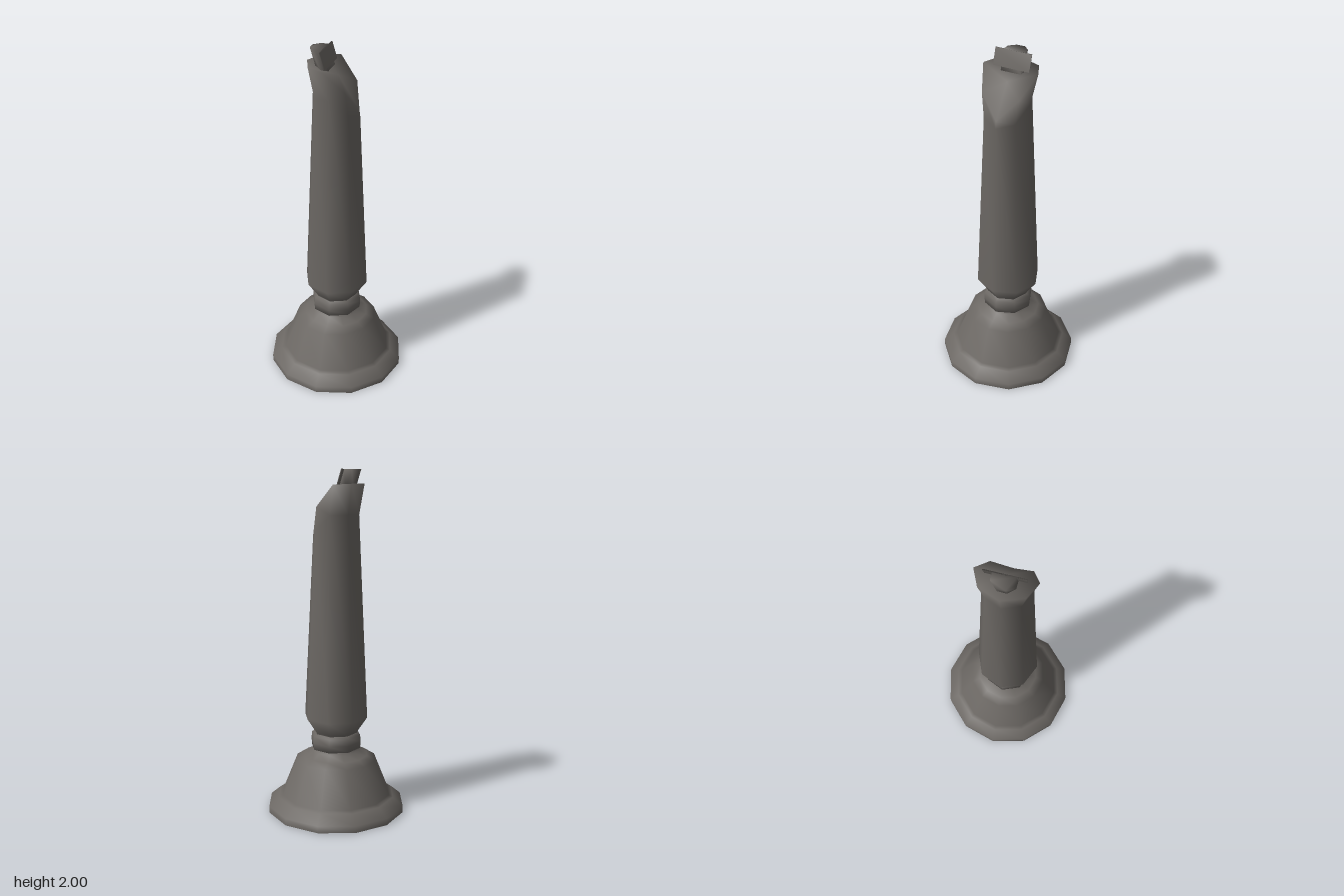
import * as THREE from 'three';
import { mergeVertices } from 'three/addons/utils/BufferGeometryUtils.js';

const darkGrey = new THREE.MeshStandardMaterial({ color: 0x6c6864, side: THREE.DoubleSide });
darkGrey.name = 'dark grey';

const lathe = (pts, sides) => new THREE.LatheGeometry(pts.map(p => new THREE.Vector2(...p)), sides);

// Shares vertices so that shading runs smoothly over the whole part
function smooth(geo) {
  geo.deleteAttribute('normal');
  geo.deleteAttribute('uv');
  const merged = mergeVertices(geo, 1e-4);
  merged.computeVertexNormals();
  return merged;
}

// Rim corners [x, y, |z|] from the low +x side round to the tall -x side
const rim = [[0.13, 1.67, 0], [0.083, 1.795, 0.112], [-0.025, 1.915, 0.165], [-0.12, 1.92, 0.12], [-0.165, 1.92, 0]];
// Heights of the ring just below the rim, in the same order
const neckY = [1.63, 1.66, 1.75, 1.75, 1.75];

// Octagonal shaft whose top rings follow the slanted, flared break and close over it
function shaftGeometry() {
  const profile = [[0.125, 0.45], [0.13, 0.48], [0.19, 0.57], [0.135, 1.75], [0.165, 1.92], [0, 1.92]];
  const geo = lathe(profile, 8);
  const pos = geo.attributes.position, n = profile.length;
  for (let i = 0; i < pos.count; i++) {
    const ring = i % n;
    if (ring < n - 3) continue;
    const x = pos.getX(i), z = pos.getZ(i);
    const k = Math.round(Math.abs(Math.atan2(z, x)) / (Math.PI / 4));
    if (ring === n - 3) pos.setY(i, neckY[k]);
    else if (ring === n - 2) pos.setXYZ(i, rim[k][0], rim[k][1], (z < 0 ? -1 : 1) * rim[k][2]);
    else pos.setXYZ(i, 0.01, 1.855, 0);
  }
  return smooth(geo);
}

// Upright bar from height y0 to the very top, sheared so that it leans towards -x
function leaningGeometry(outline, y0) {
  const y1 = 2;
  const shape = new THREE.Shape(outline.map(p => new THREE.Vector2(...p)));
  const geo = new THREE.ExtrudeGeometry(shape, { depth: y1 - y0, bevelEnabled: false });
  geo.rotateX(-Math.PI / 2).translate(0, y0, 0);
  const pos = geo.attributes.position;
  for (let i = 0; i < pos.count; i++) pos.setX(i, pos.getX(i) + (y1 - pos.getY(i)) * 0.3);
  return smooth(geo);
}

export function createModel() {
  const model = new THREE.Group();
  model.name = 'brokenPillar';
  const add = (name, geo) => {
    const mesh = new THREE.Mesh(geo, darkGrey);
    mesh.name = name;
    model.add(mesh);
  };

  // Twelve-sided flared foot, hollow underneath
  add('foot', lathe([[0.41, 0], [0.41, 0.04], [0.35, 0.09], [0.325, 0.1], [0.24, 0.31],
    [0.19, 0.335], [0.14, 0.365], [0.13, 0.39]], 12));
  // Collar between foot and shaft
  add('collar', lathe([[0.125, 0.375], [0.148, 0.38], [0.152, 0.42], [0.148, 0.46], [0.125, 0.475]], 8));
  add('shaft', shaftGeometry());
  // Leaning stub with a thin cross plate
  add('stub', leaningGeometry([[-0.06, -0.06], [-0.06, 0.06], [-0.105, 0.06], [-0.14, 0.025],
    [-0.14, -0.025], [-0.105, -0.06]], 1.89));
  add('crossPlate', leaningGeometry([[-0.063, -0.108], [-0.057, -0.108], [-0.057, 0.108], [-0.063, 0.108]], 1.91));
  return model;
}
